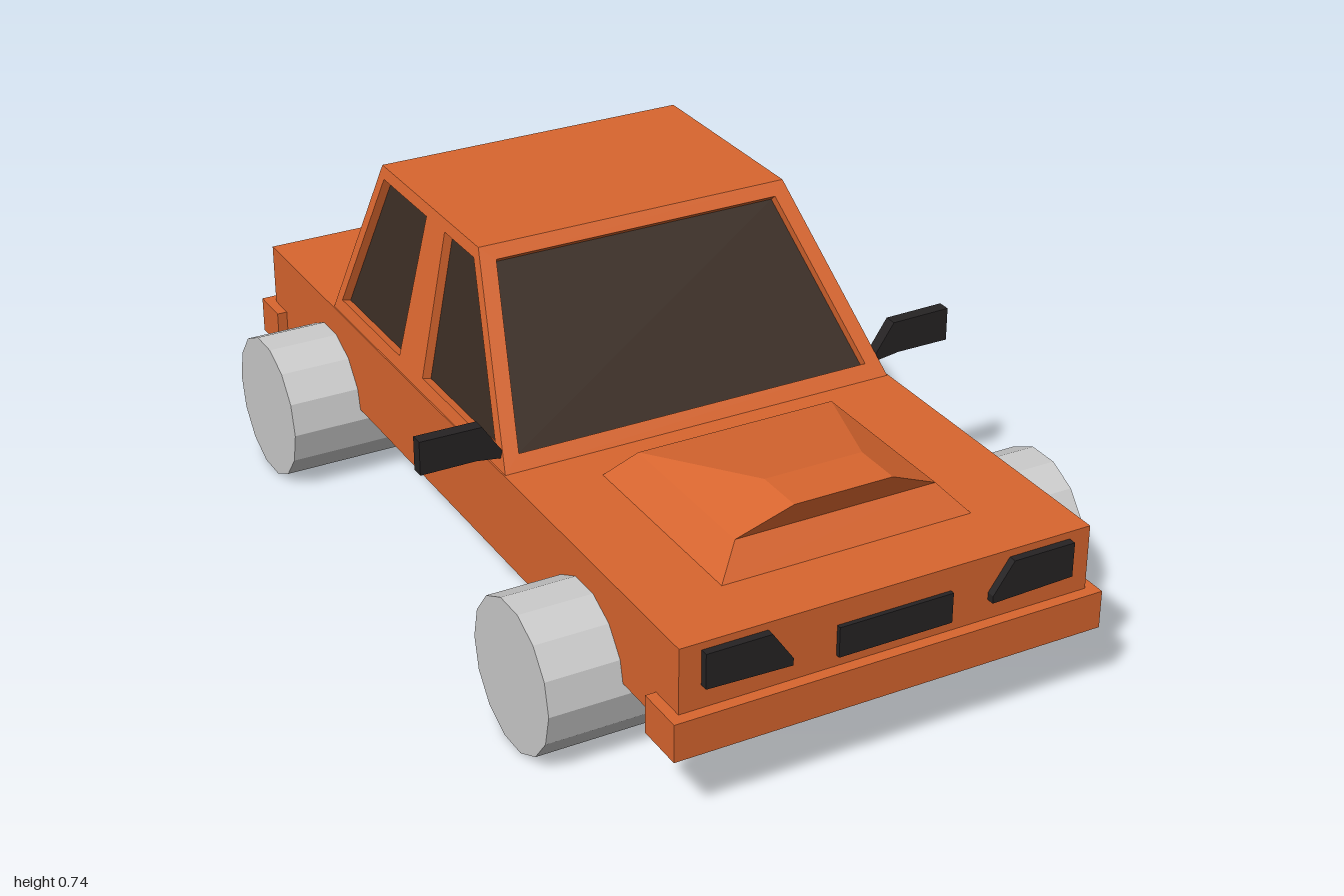
import * as THREE from 'three';

const paint = new THREE.MeshStandardMaterial({ color: 0xd9662f, flatShading: true });
const trim = new THREE.MeshStandardMaterial({ color: 0x262324, flatShading: true });
const glassMat = new THREE.MeshStandardMaterial({ color: 0x3a2c23, flatShading: true, side: THREE.DoubleSide });
const grey = new THREE.MeshStandardMaterial({ color: 0xcccccc, flatShading: true });

const v3 = (x, y, z) => new THREE.Vector3(x, y, z);

export function createModel() {
  const car = new THREE.Group();
  car.name = 'car';

  const add = (name, geometry, material, parent = car) => {
    const mesh = new THREE.Mesh(geometry, material);
    mesh.name = name;
    parent.add(mesh);
    return mesh;
  };
  // Box from its minimum and maximum corners
  const box = (name, material, [x0, y0, z0], [x1, y1, z1]) => {
    const g = new THREE.BoxGeometry(x1 - x0, y1 - y0, z1 - z0);
    g.translate((x0 + x1) / 2, (y0 + y1) / 2, (z0 + z1) / 2);
    return add(name, g, material);
  };
  // Outline in x and y, extruded from z0 to z1; side -1 mirrors it in x
  const plate = (name, points, side, z0, z1) => {
    const shape = new THREE.Shape(points.map(([x, y]) => new THREE.Vector2(x * side, y)));
    const g = new THREE.ExtrudeGeometry(shape, { depth: z1 - z0, bevelEnabled: false });
    g.translate(0, 0, z0);
    return add(name, g, trim);
  };

  // Lower body and bumpers
  box('body', paint, [-0.455, 0.18, -0.97], [0.455, 0.38, 0.975]);
  box('frontBumper', paint, [-0.478, 0.155, 0.89], [0.478, 0.238, 1]);
  box('rearBumper', paint, [-0.478, 0.155, -1], [0.478, 0.238, -0.905]);

  // Wheels
  for (const side of [1, -1]) {
    for (const [end, z] of [['front', 0.605], ['rear', -0.635]]) {
      const g = new THREE.CylinderGeometry(0.161, 0.161, 0.32, 14);
      g.rotateZ(Math.PI / 2);
      const wheel = add(end + (side > 0 ? 'Left' : 'Right') + 'Wheel', g, grey);
      wheel.position.set(side * 0.455, 0.157, z);
      // A flat facet rests on the ground
      wheel.rotation.x = 0;
    }
  }

  // Cabin: flat walls with window openings and recessed glass
  const cabin = new THREE.Group();
  cabin.name = 'cabin';
  car.add(cabin);
  const thickness = 0.02;
  // Corners run anticlockwise seen from outside
  const wall = (name, corners, windows = []) => {
    const [o, a, , d] = corners;
    const u = a.clone().sub(o).normalize();
    const n = u.clone().cross(d.clone().sub(o)).normalize();
    const w = n.clone().cross(u);
    const flat = (p) => {
      const q = p.clone().sub(o);
      return new THREE.Vector2(q.dot(u), q.dot(w));
    };
    const place = new THREE.Matrix4().makeBasis(u, w, n).setPosition(o);
    const shape = new THREE.Shape(corners.map(flat));
    for (const win of windows) {
      const outline = win.map(flat);
      shape.holes.push(new THREE.Path(outline));
      const pane = new THREE.ShapeGeometry(new THREE.Shape(outline));
      pane.translate(0, 0, -thickness);
      add(name + 'Glass', pane.applyMatrix4(place), glassMat, cabin);
    }
    const g = new THREE.ExtrudeGeometry(shape, { depth: thickness, bevelEnabled: false });
    g.translate(0, 0, -thickness);
    add(name, g.applyMatrix4(place), paint, cabin);
  };

  const low = 0.38, high = 0.74, sill = 0.408, head = 0.715;
  const mix = (a, b, y) => a + (b - a) * (y - low) / (high - low);
  const halfWidth = (y) => mix(0.452, 0.36, y);
  const frontZ = (y) => mix(0.26, -0.035, y);
  const rearZ = (y) => mix(-0.61, -0.515, y);

  // Windscreen and rear window
  for (const [name, s, zAt] of [['windscreen', 1, frontZ], ['rearWindow', -1, rearZ]]) {
    const quad = (xb, xt, yb, yt) => [
      v3(-s * xb, yb, zAt(yb)), v3(s * xb, yb, zAt(yb)),
      v3(s * xt, yt, zAt(yt)), v3(-s * xt, yt, zAt(yt))];
    wall(name, quad(halfWidth(low), halfWidth(high), low, high), [quad(0.41, 0.33, sill, head)]);
  }

  // Sides, each with two door windows
  for (const s of [1, -1]) {
    const quad = (zbf, zbr, ztr, ztf, yb, yt) => {
      const p = [[yb, zbf], [yb, zbr], [yt, ztr], [yt, ztf]]
        .map(([y, z]) => v3(s * halfWidth(y), y, z));
      return s > 0 ? p : [p[1], p[0], p[3], p[2]];
    };
    wall(s > 0 ? 'leftSide' : 'rightSide',
      quad(frontZ(low), rearZ(low), rearZ(high), frontZ(high), low, high),
      [quad(0.205, -0.15, -0.185, -0.045, sill, head),
        quad(-0.268, -0.577, -0.495, -0.275, sill, head)]);
  }

  // Roof
  const rx = halfWidth(high), rf = frontZ(high), rr = rearZ(high);
  wall('roof', [v3(-rx, high, rf), v3(rx, high, rf), v3(rx, high, rr), v3(-rx, high, rr)]);

  // Bonnet scoop, lofted through three rectangles: half width, y, front z, rear z
  const rings = [[0.28, 0.38, 0.825, 0.35], [0.225, 0.44, 0.778, 0.397], [0.11, 0.495, 0.8, 0.69]]
    .map(([x, y, f, r]) => [[-x, y, f], [x, y, f], [x, y, r], [-x, y, r]]);
  const verts = [];
  const quadFace = (a, b, c, d) => verts.push(...a, ...b, ...c, ...a, ...c, ...d);
  for (let i = 0; i < 2; i++) {
    for (let j = 0; j < 4; j++) {
      const k = (j + 1) % 4;
      quadFace(rings[i][j], rings[i][k], rings[i + 1][k], rings[i + 1][j]);
    }
  }
  quadFace(...rings[2]);
  const scoop = new THREE.BufferGeometry();
  scoop.setAttribute('position', new THREE.Float32BufferAttribute(verts, 3));
  scoop.computeVertexNormals();
  add('bonnetScoop', scoop, paint);

  // Headlights, grille and door mirrors
  const lamp = [[0.408, 0.288], [0.408, 0.364], [0.268, 0.364], [0.222, 0.298], [0.222, 0.282]];
  const mirror = [[0.622, 0.41], [0.622, 0.485], [0.485, 0.483], [0.443, 0.42], [0.443, 0.402], [0.5, 0.41]];
  for (const s of [1, -1]) {
    const label = s > 0 ? 'left' : 'right';
    plate(label + 'Headlight', lamp, s, 0.97, 0.992);
    plate(label + 'Mirror', mirror, s, 0.2, 0.228);
  }
  box('grille', trim, [-0.118, 0.262, 0.97], [0.135, 0.328, 0.985]);

  return car;
}
